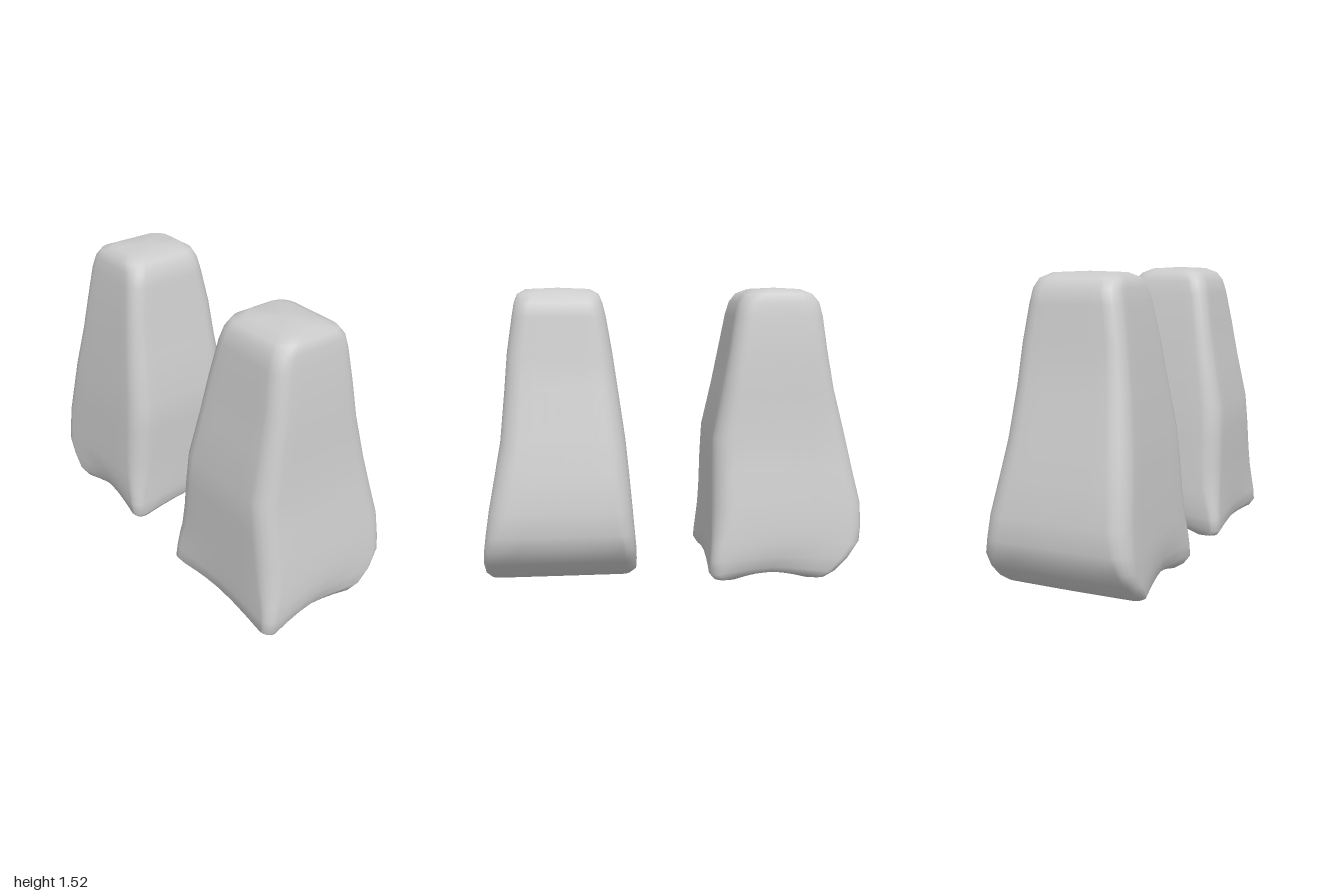
import * as THREE from 'three';

// Cross-sections from bottom to top: y, x min, x max, z min, z max, corner radius, base hollow strength
const RINGS = [
  [0.005, -0.17, 0.33, -0.34, 0.34, 0.05, 1],
  [0.015, -0.22, 0.385, -0.375, 0.37, 0.05, 1],
  [0.05, -0.265, 0.41, -0.395, 0.395, 0.05, 0.9],
  [0.12, -0.335, 0.405, -0.4, 0.395, 0.06, 0.55],
  [0.2, -0.395, 0.397, -0.39, 0.39, 0.07, 0.15],
  [0.28, -0.41, 0.392, -0.38, 0.383, 0.09, 0],
  [0.4, -0.41, 0.388, -0.362, 0.373, 0.1, 0],
  [0.58, -0.37, 0.385, -0.33, 0.358, 0.1, 0],
  [0.75, -0.335, 0.378, -0.3, 0.342, 0.1, 0],
  [1.0, -0.272, 0.325, -0.277, 0.308, 0.09, 0],
  [1.2, -0.235, 0.288, -0.26, 0.28, 0.08, 0],
  [1.38, -0.212, 0.257, -0.233, 0.25, 0.08, 0],
  [1.45, -0.195, 0.238, -0.222, 0.233, 0.08, 0],
  [1.495, -0.16, 0.205, -0.207, 0.215, 0.08, 0],
  [1.52, -0.1, 0.145, -0.165, 0.17, 0.07, 0],
];
const ARC = 5; // segments in a rounded corner
const SIDE = 6; // segments along a side

// Outward order of sides: +z, -x, -z, +x, with hollow depth and lift of the bottom edge
const SIDES = [
  { dir: [0, -1], hollow: 0.035, lift: 0.035 },
  { dir: [1, 0], hollow: -0.015, lift: 0.005 },
  { dir: [0, 1], hollow: 0.025, lift: 0.03 },
  { dir: [-1, 0], hollow: 0.02, lift: 0.02 },
];

// Rounded rectangle, corner by corner, with sides hollowed near the base
function ringPoints([y, x0, x1, z0, z1, r, k]) {
  const centres = [[x1 - r, z1 - r], [x0 + r, z1 - r], [x0 + r, z0 + r], [x1 - r, z0 + r]];
  const pts = [];
  for (let c = 0; c < 4; c++) {
    const [cx, cz] = centres[c];
    for (let i = 0; i <= ARC; i++) {
      const a = (c + i / ARC) * Math.PI / 2;
      pts.push([cx + r * Math.cos(a), y, cz + r * Math.sin(a)]);
    }
    const from = pts[pts.length - 1];
    const [nx, nz] = centres[(c + 1) % 4];
    const b = (c + 1) * Math.PI / 2;
    const to = [nx + r * Math.cos(b), nz + r * Math.sin(b)];
    const { dir, hollow, lift } = SIDES[c];
    for (let i = 1; i < SIDE; i++) {
      const t = i / SIDE;
      const bump = k * (1 - Math.abs(2 * t - 1) ** 1.5);
      pts.push([
        from[0] + (to[0] - from[0]) * t + dir[0] * hollow * bump,
        y + lift * bump,
        from[2] + (to[1] - from[2]) * t + dir[1] * hollow * bump,
      ]);
    }
  }
  return pts;
}

// Skin the cross-sections and close both ends
function blockGeometry() {
  const rings = RINGS.map(ringPoints);
  const n = rings[0].length;
  const positions = rings.flat(2);
  const index = [];
  for (let j = 0; j < rings.length - 1; j++) {
    for (let i = 0; i < n; i++) {
      const a = j * n + i;
      const b = j * n + (i + 1) % n;
      index.push(a, a + n, b, b, a + n, b + n);
    }
  }
  const bottom = rings.length * n;
  const top = bottom + 1;
  const last = (rings.length - 1) * n;
  positions.push(0.08, 0.03, 0, 0.02, 1.527, 0);
  for (let i = 0; i < n; i++) {
    const next = (i + 1) % n;
    index.push(bottom, i, next, top, last + next, last + i);
  }
  const geometry = new THREE.BufferGeometry();
  geometry.setAttribute('position', new THREE.Float32BufferAttribute(positions, 3));
  geometry.setIndex(index);
  geometry.computeVertexNormals();
  return geometry;
}

export function createModel() {
  const group = new THREE.Group();
  group.name = 'taperedStones';
  const material = new THREE.MeshStandardMaterial({ color: 0xcccccc });
  const geometry = blockGeometry();

  // Two copies of one stone, the left one given a quarter turn
  const rightStone = new THREE.Mesh(geometry, material);
  rightStone.name = 'rightStone';
  rightStone.position.x = -0.59;

  const leftStone = new THREE.Mesh(geometry, material);
  leftStone.name = 'leftStone';
  leftStone.position.x = 0.59;
  leftStone.rotation.y = -Math.PI / 2;

  group.add(rightStone, leftStone);
  return group;
}
